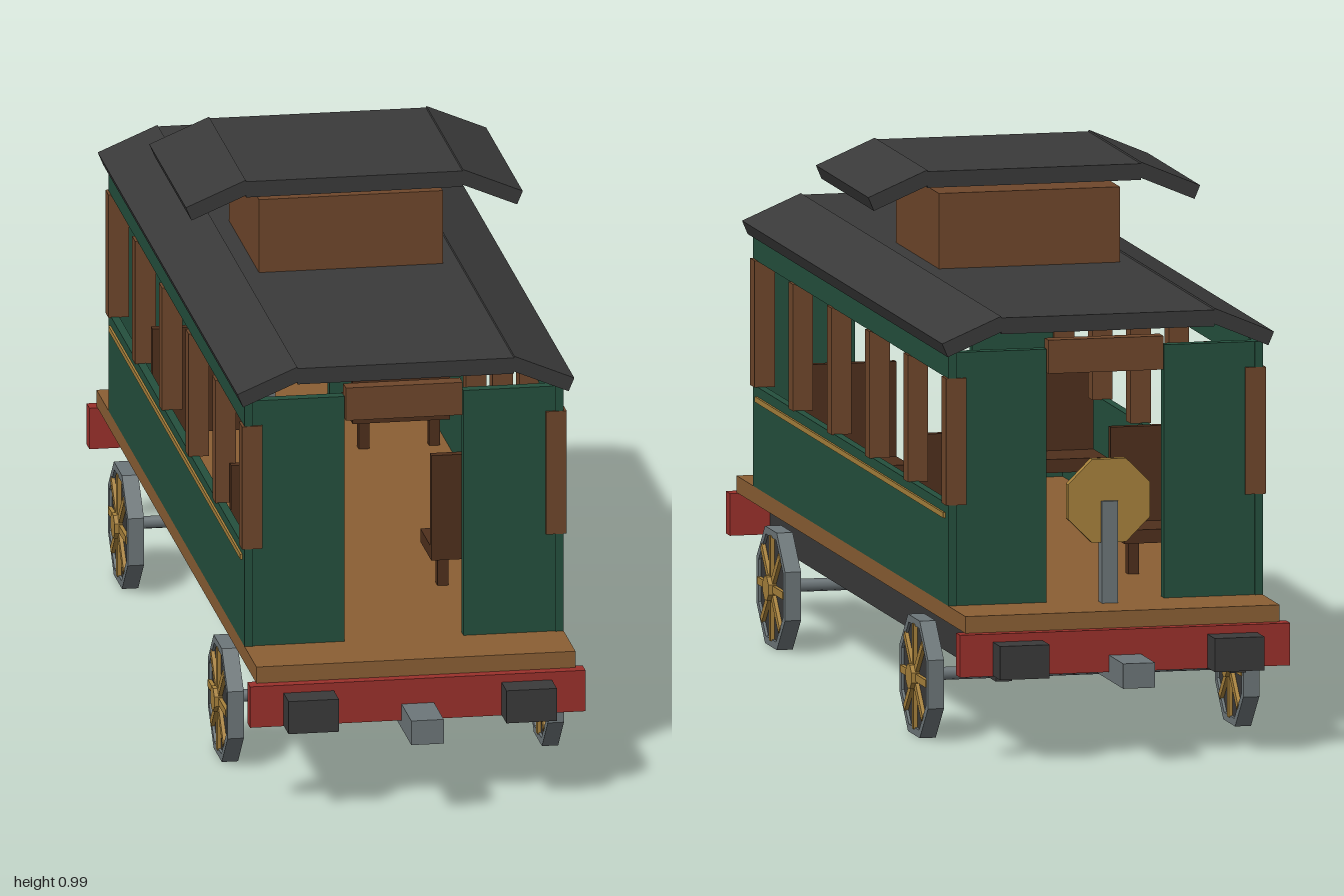
import * as THREE from 'three';

const mat = (name, color) => Object.assign(new THREE.MeshStandardMaterial({ color }), { name });
const M = {
  green: mat('bodyGreen', 0x24503d),
  brown: mat('postBrown', 0x6f472b),
  dark: mat('seatBrown', 0x4e2f1c),
  floor: mat('floorTan', 0x8b5f34),
  red: mat('beamRed', 0x9a302b),
  steel: mat('steelGrey', 0x6d7679),
  gold: mat('trimGold', 0xa8823c),
  black: mat('charcoal', 0x3a3a3a),
};

// Box given by its min and max along each axis
function box(parent, name, material, [x0, x1], [y0, y1], [z0, z1]) {
  const m = new THREE.Mesh(new THREE.BoxGeometry(x1 - x0, y1 - y0, z1 - z0), material);
  m.position.set((x0 + x1) / 2, (y0 + y1) / 2, (z0 + z1) / 2);
  m.name = name;
  parent.add(m);
  return m;
}

// Mirrored range: [a, b] for s = 1, [-b, -a] for s = -1
const side = (s, a, b) => (s > 0 ? [a, b] : [-b, -a]);

// Flat-topped octagon outline with the given apothem
function octagon(apothem, Kind = THREE.Shape) {
  const r = apothem / Math.cos(Math.PI / 8);
  const pts = [];
  for (let i = 0; i < 8; i++) {
    const a = Math.PI / 8 + (i * Math.PI) / 4;
    pts.push(new THREE.Vector2(r * Math.cos(a), r * Math.sin(a)));
  }
  return new Kind(pts);
}

// Octagonal plate centred on its own z axis
function octPlate(name, material, apothem, depth, hole) {
  const shape = octagon(apothem);
  if (hole) shape.holes.push(octagon(hole, THREE.Path));
  const geo = new THREE.ExtrudeGeometry(shape, { depth, bevelEnabled: false });
  geo.translate(0, 0, -depth / 2);
  const m = new THREE.Mesh(geo, material);
  m.name = name;
  return m;
}

// Spoked wheel, axle along x
function wheel() {
  const g = new THREE.Group();
  g.name = 'wheel';
  g.add(octPlate('wheelRim', M.steel, 0.108, 0.03, 0.094));
  g.add(octPlate('wheelDisc', M.black, 0.095, 0.02));
  g.add(octPlate('wheelHub', M.gold, 0.022, 0.05));
  for (let i = 0; i < 4; i++) {
    const spoke = box(g, 'wheelSpoke', M.gold, [-0.097, 0.097], [-0.007, 0.007], [-0.017, 0.017]);
    spoke.rotation.z = (i * Math.PI) / 4;
  }
  g.rotation.y = Math.PI / 2;
  return g;
}

// Roof of one flat slab and two sloping eaves
function roof(name, top, halfLength) {
  const g = new THREE.Group();
  g.name = name;
  const z = [-halfLength, halfLength];
  box(g, 'roofTop', M.black, [-0.2, 0.2], [top - 0.03, top], z);
  for (const s of [-1, 1]) {
    const eave = box(g, 'roofEave', M.black, [-0.06, 0.06], [-0.0135, 0.0135], z);
    eave.position.set(s * 0.251, top - 0.033, 0);
    eave.rotation.z = -s * 0.4;
  }
  return g;
}

export function createModel() {
  const car = new THREE.Group();
  car.name = 'railCar';

  // Floor and underframe
  box(car, 'floor', M.floor, [-0.295, 0.295], [0.235, 0.266], [-0.873, 0.873]);
  for (const s of [-1, 1]) {
    box(car, 'frameRail', M.black, side(s, 0.205, 0.235), [0.142, 0.235], [-0.862, 0.862]);
    box(car, 'crossBeam', M.black, [-0.205, 0.205], [0.165, 0.235], side(s, 0.58, 0.7));
    box(car, 'endBeam', M.red, [-0.31, 0.31], [0.157, 0.235], side(s, 0.862, 0.893));
    box(car, 'coupler', M.steel, [-0.03, 0.03], [0.142, 0.188], side(s, 0.8, 1));
    for (const t of [-1, 1])
      box(car, 'buffer', M.black, side(t, 0.155, 0.248), [0.158, 0.22], side(s, 0.893, 0.947));
  }

  // Wheels and axles
  for (const z of [-0.545, 0.545]) {
    for (const s of [-1, 1]) {
      const w = wheel();
      w.position.set(s * 0.296, 0.108, z);
      car.add(w);
    }
    const axle = new THREE.Mesh(new THREE.CylinderGeometry(0.012, 0.012, 0.56, 8), M.steel);
    axle.name = 'axle';
    axle.rotation.z = Math.PI / 2;
    axle.position.set(0, 0.111, z);
    car.add(axle);
  }

  // Side walls, window posts and trim
  for (const s of [-1, 1]) {
    box(car, 'sideWall', M.green, side(s, 0.28, 0.295), [0.266, 0.453], [-0.745, 0.745]);
    box(car, 'windowRail', M.green, side(s, 0.28, 0.295), [0.685, 0.733], [-0.745, 0.745]);
    box(car, 'sideTrim', M.gold, side(s, 0.294, 0.299), [0.425, 0.435], [-0.72, 0.72]);
    for (let i = 0; i < 6; i++) {
      const z = -0.73 + i * 0.292;
      box(car, 'windowPost', M.brown, side(s, 0.262, 0.3), [0.452, 0.686], [z - 0.017, z + 0.017]);
    }
  }

  // End walls with an open doorway
  for (const e of [-1, 1]) {
    for (const s of [-1, 1])
      box(car, 'endWall', M.green, side(s, 0.11, 0.281), [0.266, 0.733], side(e, 0.72, 0.742));
    box(car, 'doorHeader', M.brown, [-0.108, 0.108], [0.688, 0.75], side(e, 0.717, 0.746));
  }

  // Benches either side of the aisle
  for (const z of [-0.43, 0.43]) {
    for (const s of [-1, 1]) {
      box(car, 'benchSeat', M.dark, side(s, 0.095, 0.275), [0.33, 0.355], [z - 0.07, z + 0.05]);
      box(car, 'benchBack', M.dark, side(s, 0.095, 0.275), [0.35, 0.53], [z + 0.033, z + 0.05]);
      for (const x of [0.115, 0.245])
        box(car, 'benchLeg', M.dark, side(s, x, x + 0.02), [0.266, 0.332], [z - 0.02, z]);
    }
  }

  // Roofs and raised lantern
  car.add(roof('mainRoof', 0.797, 0.763));
  box(car, 'lantern', M.brown, [-0.17, 0.17], [0.79, 0.936], [-0.163, 0.163]);
  car.add(roof('lanternRoof', 0.983, 0.2));

  // Hand brake on the rear platform
  box(car, 'brakePost', M.steel, [-0.015, 0.015], [0.266, 0.454], [-0.778, -0.749]);
  const brake = octPlate('brakeWheel', M.gold, 0.077, 0.016);
  brake.position.set(0, 0.454, -0.763);
  car.add(brake);

  return car;
}
